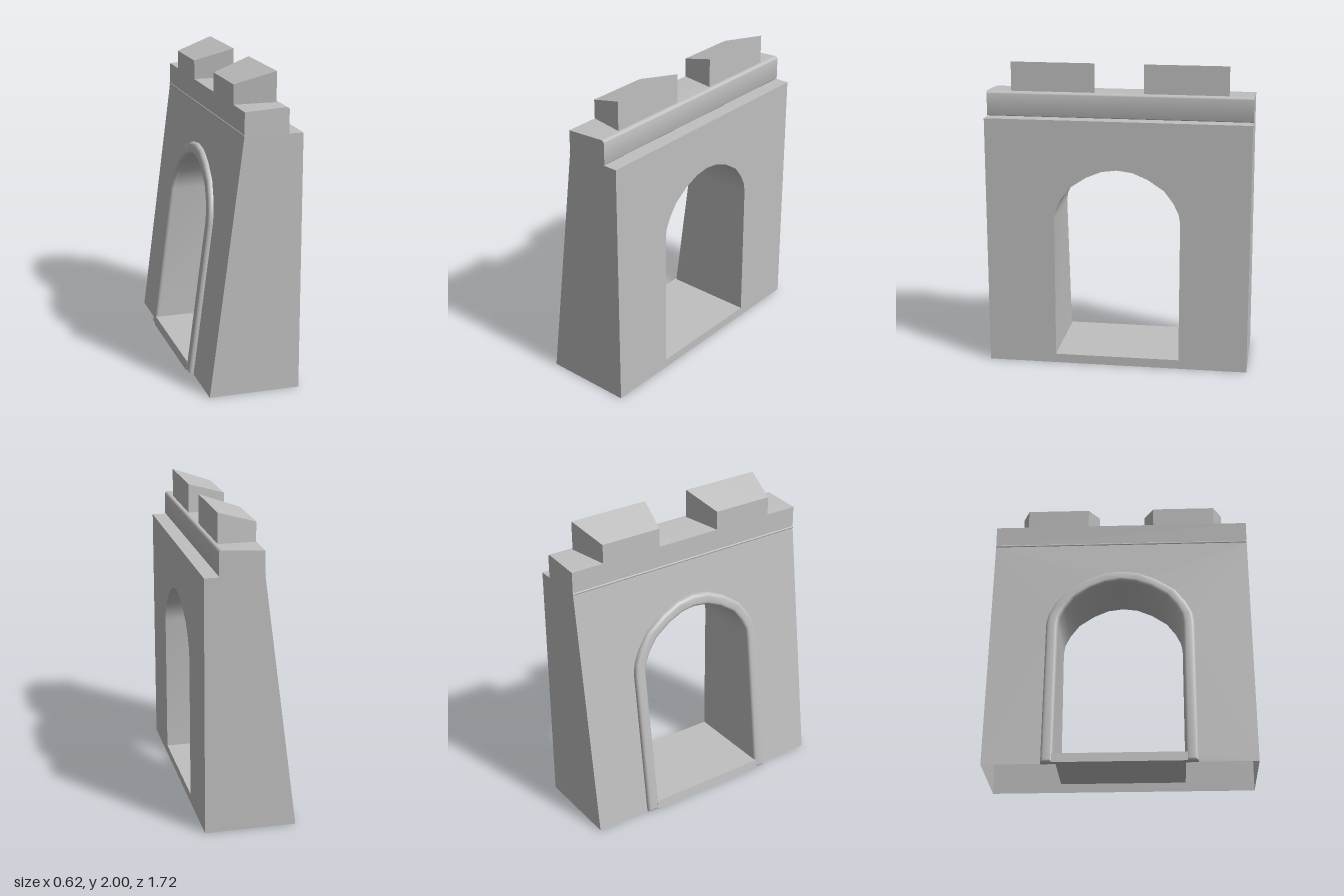
import * as THREE from 'three';
import { toCreasedNormals } from 'three/addons/utils/BufferGeometryUtils.js';

const DEPTH_FRONT = 0.305, WALL_TOP = 1.65, HALF_LENGTH = 0.858;
const slope = (y) => -0.28 + 0.13 * y; // x of the battered wall face

// Half of the arch curve, from springing line to crown: [z, y]
const ARCH = [[0.41, 1.0], [0.4, 1.06], [0.365, 1.13], [0.305, 1.21], [0.2, 1.28], [0.1, 1.322], [0, 1.335]];

// Full arch outline standing on y = base, enlarged outwards by grow
function archPoints(grow, base) {
  const half = ARCH.map(([z, y]) => [z * (0.41 + grow) / 0.41, 1 + (y - 1) * (0.335 + grow) / 0.335]);
  const other = half.slice(0, -1).reverse().map(([z, y]) => [-z, y]);
  return [[0.41 + grow, base], ...half, ...other, [-0.41 - grow, base]]
    .map(([z, y]) => new THREE.Vector2(z, y));
}

// Moves every vertex by a rule and rebuilds the normals
function reshape(geometry, rule) {
  const p = geometry.attributes.position;
  const v = new THREE.Vector3();
  for (let i = 0; i < p.count; i++) {
    rule(v.fromBufferAttribute(p, i));
    p.setXYZ(i, v.x, v.y, v.z);
  }
  return toCreasedNormals(geometry, 0.6);
}

// Drops the faces lying on the ground, leaving the shell open below
function openBottom(geometry) {
  const p = geometry.attributes.position.array;
  const kept = [];
  for (let i = 0; i < p.length; i += 9) {
    if (Math.max(p[i + 1], p[i + 4], p[i + 7]) > 1e-4) kept.push(...p.slice(i, i + 9));
  }
  const open = new THREE.BufferGeometry();
  open.setAttribute('position', new THREE.Float32BufferAttribute(kept, 3));
  return open;
}

export function createModel() {
  const group = new THREE.Group();
  const stone = new THREE.MeshStandardMaterial({ color: 0xbfbfbf, side: THREE.DoubleSide });
  stone.name = 'grey stone';
  const add = (name, geometry) => {
    const mesh = new THREE.Mesh(geometry, stone);
    mesh.name = name;
    group.add(mesh);
    return mesh;
  };

  // Hollow wall with the arched passage and one leaning face
  const wallShape = new THREE.Shape([
    new THREE.Vector2(-HALF_LENGTH, 0), new THREE.Vector2(HALF_LENGTH, 0),
    new THREE.Vector2(HALF_LENGTH, WALL_TOP), new THREE.Vector2(-HALF_LENGTH, WALL_TOP),
  ]);
  wallShape.holes.push(new THREE.Path(archPoints(0, 0.06)));
  const wall = new THREE.ExtrudeGeometry(wallShape, { depth: 1, bevelEnabled: false });
  wall.rotateY(Math.PI / 2);
  add('wall', reshape(openBottom(wall), (v) => {
    v.x = THREE.MathUtils.lerp(slope(v.y), DEPTH_FRONT, v.x);
  }));

  // Rounded moulding around the arch on the leaning face
  const band = new THREE.Shape([...archPoints(0.078, 0), ...archPoints(0, 0).reverse()]);
  const moulding = new THREE.ExtrudeGeometry(band, {
    depth: 0.015, bevelThickness: 0.022, bevelSize: 0.022, bevelOffset: -0.022, bevelSegments: 4,
  });
  moulding.rotateY(Math.PI / 2);
  add('archMoulding', reshape(moulding, (v) => { v.x += slope(v.y) - 0.01; }));

  // Projecting end of the passage floor
  const sill = new THREE.BoxGeometry(0.04, 0.06, 0.84).translate(-0.01, 0.03, 0);
  add('sill', reshape(sill, (v) => { v.x += slope(v.y); }));

  // Parapet: rounded profile swept along the wall
  const profile = new THREE.Shape();
  profile.moveTo(-0.065, WALL_TOP);
  profile.lineTo(0.205, WALL_TOP);
  profile.quadraticCurveTo(0.215, WALL_TOP, 0.215, 1.66);
  profile.lineTo(0.215, 1.795);
  profile.quadraticCurveTo(0.213, 1.812, 0.19, 1.811);
  profile.lineTo(-0.065, 1.796);
  const parapet = new THREE.ExtrudeGeometry(profile, {
    depth: 2 * HALF_LENGTH, bevelEnabled: false, curveSegments: 5,
  });
  add('parapet', toCreasedNormals(parapet.translate(0, 0, -HALF_LENGTH), 0.6));

  // Thin string course under the parapet
  const course = add('stringCourse', new THREE.CylinderGeometry(0.008, 0.008, 2 * HALF_LENGTH, 10));
  course.rotation.x = Math.PI / 2;
  course.position.set(-0.062, WALL_TOP, 0);

  // Tapered merlons with sloping tops
  for (const side of [1, -1]) {
    const block = new THREE.BoxGeometry(1, 1, 1);
    add(side > 0 ? 'leftMerlon' : 'rightMerlon', reshape(block, (v) => {
      const front = v.x > 0;
      v.z = side * 0.43 + v.z * (front ? 0.542 : 0.414);
      v.y = v.y < 0 ? 1.78 : front ? 2.0 : 1.92;
      v.x = front ? 0.187 : -0.065;
    }));
  }
  return group;
}
